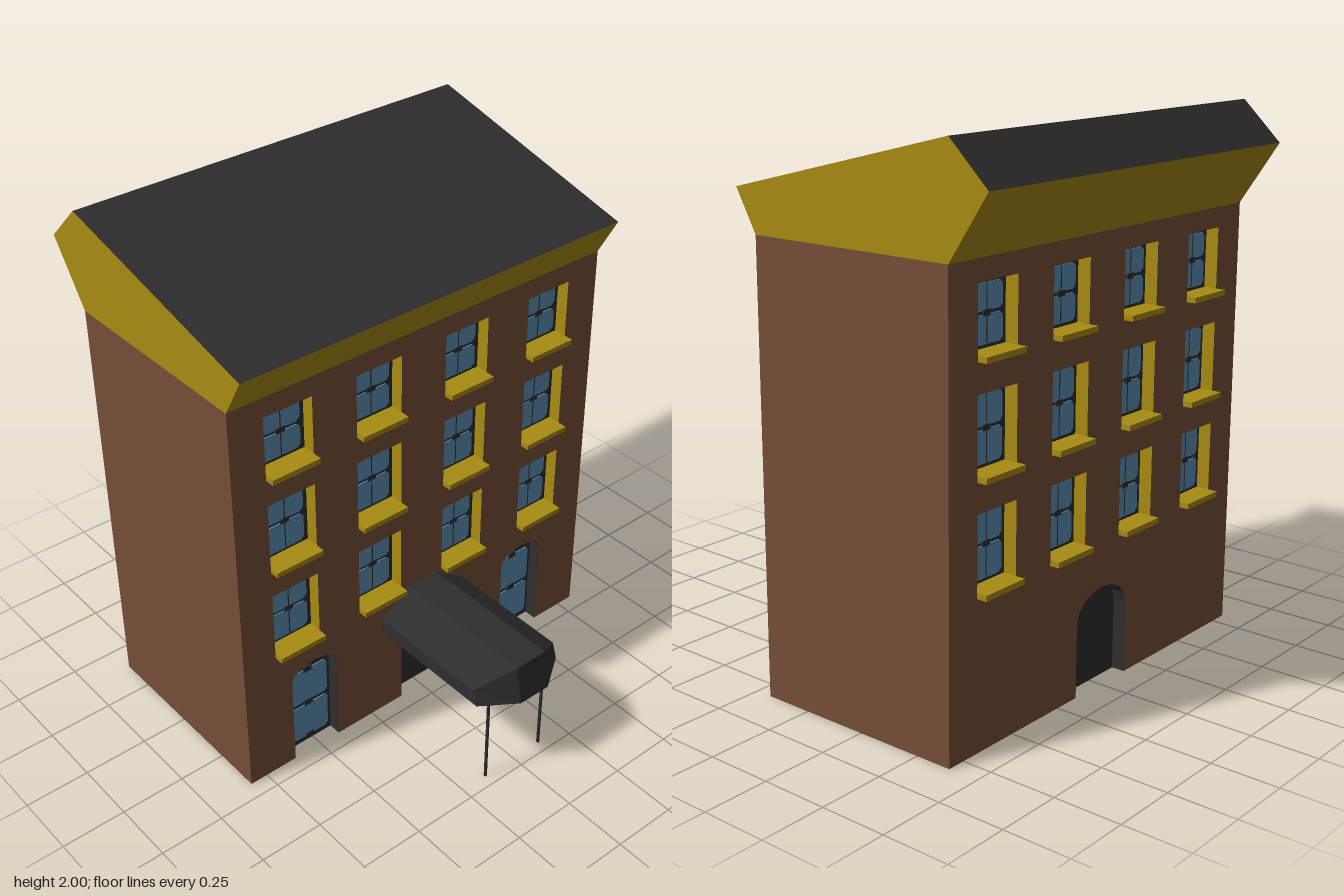
import * as THREE from 'three';

const mat = (name, color) => {
  const m = new THREE.MeshStandardMaterial({ color, side: THREE.DoubleSide });
  m.name = name;
  return m;
};
const BRICK = mat('brick', 0x764e38);
const GOLD = mat('gold trim', 0xa88c12);
const DARK = mat('charcoal', 0x2e2e2e);
const GLASS = mat('glass blue', 0x5990b3);

const W = 0.82, H = 1.625, FRONT = 0.185, BACK = -0.637, RECESS = 0.05;
const COLUMNS = [-0.585, -0.205, 0.19, 0.58];
const ROWS = [[0.555, 0.815], [0.94, 1.2], [1.325, 1.55]];

function add(parent, name, geometry, material, x = 0, y = 0, z = 0) {
  const mesh = new THREE.Mesh(geometry, material);
  mesh.name = name;
  mesh.position.set(x, y, z);
  parent.add(mesh);
  return mesh;
}

// Flat-shaded faces from corner quads
function quads(list) {
  const pos = [];
  for (const [a, b, c, d] of list) pos.push(...a, ...b, ...c, ...a, ...c, ...d);
  const g = new THREE.BufferGeometry();
  g.setAttribute('position', new THREE.Float32BufferAttribute(pos, 3));
  g.computeVertexNormals();
  return g;
}

// Quads joining two open cross-sections
const strip = (a, b) => a.slice(1).map((p, i) => [a[i], p, b[i + 1], b[i]]);

const shapeOf = (pts) => new THREE.Shape(pts.map(([x, y]) => new THREE.Vector2(x, y)));

const rectangle = (x, w, y0, y1) => [[x - w, y0], [x + w, y0], [x + w, y1], [x - w, y1]];

// Arched opening outline, from the left foot to the right foot
function arch({ x, w, spring, top }) {
  const pts = [[x - w, 0]];
  for (let i = 0; i <= 8; i++) {
    const a = Math.PI * (1 - i / 8);
    pts.push([x + w * Math.cos(a), spring + (top - spring) * Math.sin(a)]);
  }
  pts.push([x + w, 0]);
  return pts;
}

// Jambs of an opening
function reveal(pts) {
  return quads(strip(pts.map(([x, y]) => [x, y, -RECESS]), pts.map(([x, y]) => [x, y, 0])));
}

// Thin pane with clipped corners
function pane(parent, x, w, y0, y1, c) {
  const s = shapeOf([[-w + c, y0], [w - c, y0], [w, y0 + c], [w, y1 - c],
    [w - c, y1], [-w + c, y1], [-w, y1 - c], [-w, y0 + c]]);
  const g = new THREE.ExtrudeGeometry(s, { depth: 0.008, bevelEnabled: false });
  add(parent, 'windowPane', g, GLASS, x, 0, -RECESS - 0.004);
}

function sashWindow(parent, x, y0, y1) {
  const g = new THREE.Group();
  g.name = 'sashWindow';
  const outline = rectangle(x, 0.098, y0, y1), mid = (y0 + y1) / 2;
  add(g, 'windowReveal', reveal([...outline, outline[0]]), GOLD);
  add(g, 'windowFrame', new THREE.ShapeGeometry(shapeOf(outline)), DARK, 0, 0, -RECESS);
  pane(g, x, 0.08, y0 + 0.012, mid - 0.006, 0.014);
  pane(g, x, 0.08, mid + 0.006, y1 - 0.018, 0.014);
  add(g, 'mullion', new THREE.BoxGeometry(0.004, y1 - y0 - 0.03, 0.009), DARK, x, mid, -RECESS + 0.001);
  add(g, 'sashCatch', new THREE.BoxGeometry(0.036, 0.02, 0.009), DARK, x, mid, -RECESS + 0.002);
  add(g, 'windowSill', new THREE.BoxGeometry(0.196, 0.02, 0.037 + RECESS), GOLD,
    x, y0 - 0.01, (0.037 - RECESS) / 2);
  parent.add(g);
}

// Wall with notched doorways, window holes and everything set in them
function facade(name, arches) {
  const g = new THREE.Group();
  g.name = name;
  const wall = shapeOf([[-W, 0], ...arches.flatMap(arch), [W, 0], [W, H], [-W, H]]);
  for (const x of COLUMNS) for (const [y0, y1] of ROWS) {
    wall.holes.push(new THREE.Path(
      rectangle(x, 0.098, y0, y1).reverse().map(([a, b]) => new THREE.Vector2(a, b))));
    sashWindow(g, x, y0, y1);
  }
  add(g, 'wall', new THREE.ShapeGeometry(wall), BRICK);
  for (const a of arches) {
    const pts = arch(a), kind = a.glazed ? 'archedWindow' : 'door';
    add(g, kind + 'Reveal', reveal(pts), DARK);
    add(g, kind, new THREE.ShapeGeometry(shapeOf(pts)), DARK, 0, 0, -RECESS);
    if (a.glazed) {
      pane(g, a.x, 0.088, 0.025, 0.183, 0.012);
      pane(g, a.x, 0.088, 0.2, 0.355, 0.012);
      for (const y of [0.025, 0.192, 0.355])
        add(g, 'sashCatch', new THREE.BoxGeometry(0.036, 0.024, 0.009), DARK, a.x, y, -RECESS + 0.002);
    }
  }
  return g;
}

function roof() {
  const g = new THREE.Group();
  g.name = 'roof';
  // Side profile as [z, y]
  const profile = [[FRONT, H], [0.27, 1.775], [-0.638, 2], [-0.79, 1.853], [BACK, H]];
  const at = (x) => profile.map(([z, y]) => [x, y, z]);
  const [frontEave, top, backSlope, backEave] = strip(at(-W), at(W));
  add(g, 'roofSlopes', quads([top, backSlope]), DARK);
  add(g, 'eaves', quads([frontEave, backEave]), GOLD);
  for (const s of [-1, 1]) {
    const end = shapeOf(profile.map(([z, y]) => [-s * z, y]));
    add(g, 'gable', new THREE.ShapeGeometry(end), GOLD, s * W).rotation.y = s * Math.PI / 2;
  }
  return g;
}

function canopy() {
  const g = new THREE.Group();
  g.name = 'entranceCanopy';
  const section = [[-0.195, 0.38], [-0.195, 0.44], [-0.065, 0.53], [0.068, 0.53], [0.198, 0.44], [0.198, 0.38]];
  const depth = [0.7, 0.68, 0.765, 0.765, 0.68, 0.7];
  const back = section.map(([x, y]) => [x, y, FRONT - 0.015]);
  const front = section.map(([x, y], i) => [x, y, depth[i]]);
  const [a, b, c, d, e, f] = front;
  const p = [-0.065, 0.38, 0.79], q = [0.068, 0.38, 0.79];
  add(g, 'canopyCover', quads([...strip(front, back), [b, a, p, c], [c, p, q, d], [d, q, f, e]]), DARK);
  for (const x of [-0.138, 0.13])
    add(g, 'canopyPost', new THREE.CylinderGeometry(0.006, 0.006, 0.42, 8), DARK, x, 0.21, 0.703);
  return g;
}

export function createModel() {
  const model = new THREE.Group();
  model.name = 'townhouse';

  const front = facade('frontFacade', [
    { x: -0.515, w: 0.102, spring: 0.375, top: 0.43, glazed: true },
    { x: -0.004, w: 0.098, spring: 0.375, top: 0.43 },
    { x: 0.512, w: 0.102, spring: 0.375, top: 0.43, glazed: true },
  ]);
  front.position.z = FRONT;
  const back = facade('backFacade', [{ x: 0, w: 0.145, spring: 0.27, top: 0.37 }]);
  back.position.z = BACK;
  back.rotation.y = Math.PI;
  model.add(front, back);

  for (const s of [-1, 1]) {
    const side = add(model, 'sideWall', new THREE.PlaneGeometry(FRONT - BACK, H), BRICK,
      s * W, H / 2, (FRONT + BACK) / 2);
    side.rotation.y = s * Math.PI / 2;
  }

  model.add(roof(), canopy());
  return model;
}
